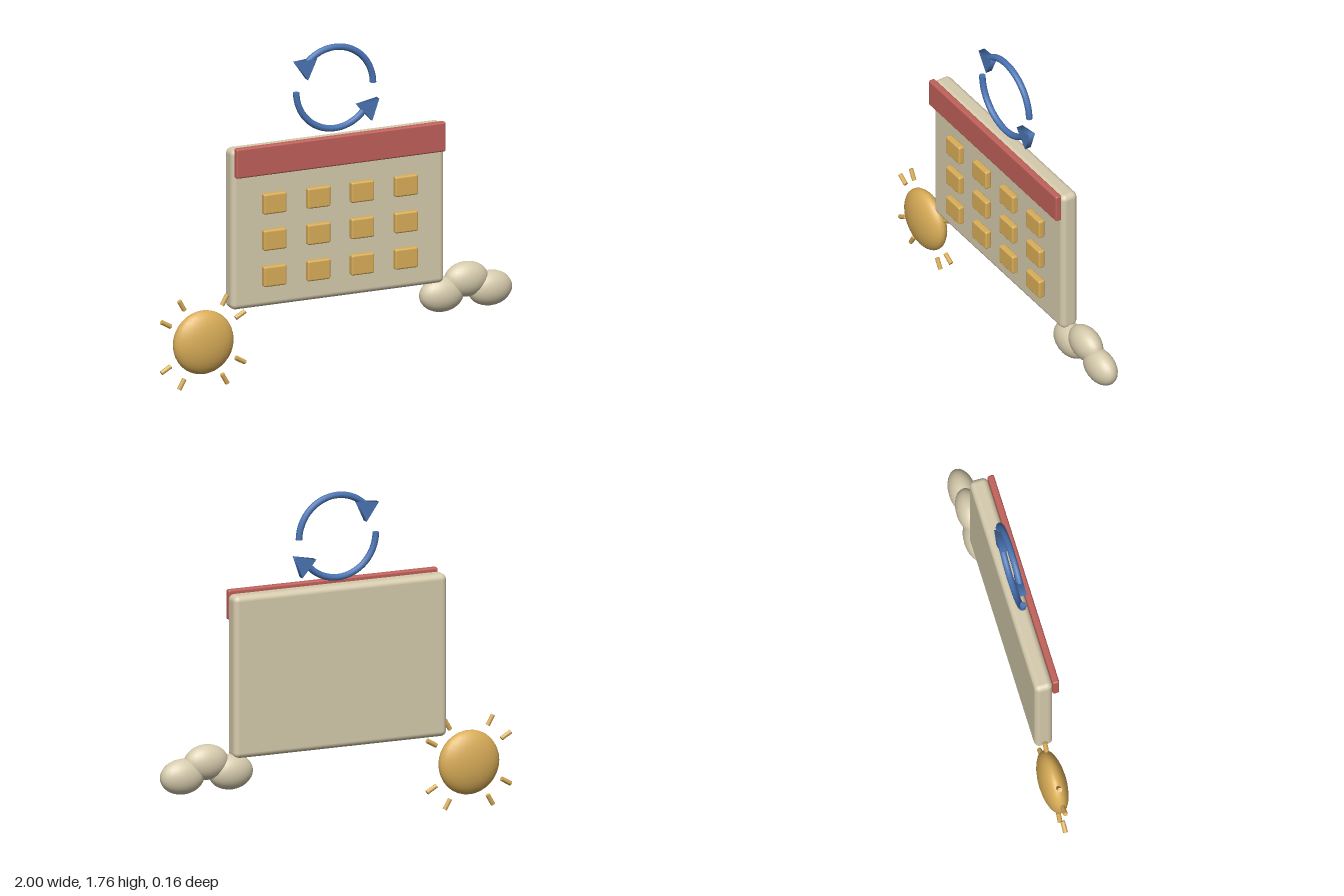
import * as THREE from 'three';
import { RoundedBoxGeometry } from 'three/addons/geometries/RoundedBoxGeometry.js';

const material = (name, color) => {
  const m = new THREE.MeshStandardMaterial({ color });
  m.name = name;
  return m;
};

export function createModel() {
  const cream = material('cream', 0xd6cbad);
  const red = material('red', 0xc0605a);
  const gold = material('gold', 0xd9ad58);
  const blue = material('blue', 0x4a74b4);

  const model = new THREE.Group();
  model.name = 'weatherCalendar';
  const CX = -0.01; // centre line of the calendar
  const Z = -0.006; // middle plane

  const add = (parent, name, geometry, mat, x, y, z = Z) => {
    const mesh = new THREE.Mesh(geometry, mat);
    mesh.name = name;
    mesh.position.set(x, y, z);
    parent.add(mesh);
    return mesh;
  };
  const addGroup = (name) => {
    const g = new THREE.Group();
    g.name = name;
    model.add(g);
    return g;
  };

  // Calendar board, header and day tiles
  const calendar = addGroup('calendar');
  add(calendar, 'board', new RoundedBoxGeometry(1.215, 0.865, 0.098, 4, 0.03), cream, CX, 0.84);
  add(calendar, 'header', new RoundedBoxGeometry(1.196, 0.16, 0.036, 3, 0.01), red, CX, 1.208, 0.06);
  const tile = new RoundedBoxGeometry(0.13, 0.11, 0.036, 3, 0.01);
  for (let row = 0; row < 3; row++) {
    for (let col = 0; col < 4; col++) {
      add(calendar, 'dayTile', tile, gold, CX + (col - 1.5) * 0.25, 0.97 - row * 0.196, 0.06);
    }
  }

  // Flattened sun with rays in pairs around the diagonals
  const sun = addGroup('sun');
  const SX = -0.76, SY = 0.246;
  add(sun, 'sunDisc', new THREE.SphereGeometry(0.171, 24, 16), gold, SX, SY).scale.z = 0.42;
  const ray = new THREE.CylinderGeometry(0.0125, 0.0125, 0.062, 8);
  for (const deg of [30, 60, 120, 150, 210, 240, 300, 330]) {
    const a = THREE.MathUtils.degToRad(deg);
    const mesh = add(sun, 'sunRay', ray, gold, SX + 0.245 * Math.cos(a), SY + 0.245 * Math.sin(a));
    mesh.rotation.z = a - Math.PI / 2;
  }

  // Cloud of three flattened puffs
  const cloud = addGroup('cloud');
  const puff = new THREE.SphereGeometry(1, 24, 16);
  for (const [x, y] of [[0.6, 0.335], [0.74, 0.4], [0.875, 0.336]]) {
    add(cloud, 'cloudPuff', puff, cream, x, y).scale.set(0.124, 0.094, 0.072);
  }

  // Two circling arrows: capped arc plus a flat triangular head
  const arrows = addGroup('refreshArrows');
  const AY = 1.527, R = 0.219, TUBE = 0.0175;
  const head = new THREE.CylinderGeometry(0.0705, 0.0705, 0.036, 3);
  head.rotateX(Math.PI / 2); // one corner now points down
  const addArrow = (startDeg, sweepDeg, hx, hy, cornerDeg) => {
    const start = THREE.MathUtils.degToRad(startDeg);
    const sweep = THREE.MathUtils.degToRad(sweepDeg);
    add(arrows, 'arrowArc', new THREE.TorusGeometry(R, TUBE, 10, 32, sweep), blue, CX, AY).rotation.z = start;
    const cap = add(arrows, 'arrowEnd', new THREE.CircleGeometry(TUBE, 10), blue,
      CX + R * Math.cos(start), AY + R * Math.sin(start));
    // Cap faces backwards along the arc
    const back = new THREE.Vector3(Math.sin(start), -Math.cos(start), 0);
    cap.quaternion.setFromUnitVectors(new THREE.Vector3(0, 0, 1), back);
    add(arrows, 'arrowHead', head, blue, hx, hy).rotation.z = THREE.MathUtils.degToRad(cornerDeg + 90);
  };
  addArrow(0.5, 140, -0.175, 1.66, -85);
  addArrow(180, 146, 0.184, 1.395, -79);

  return model;
}
